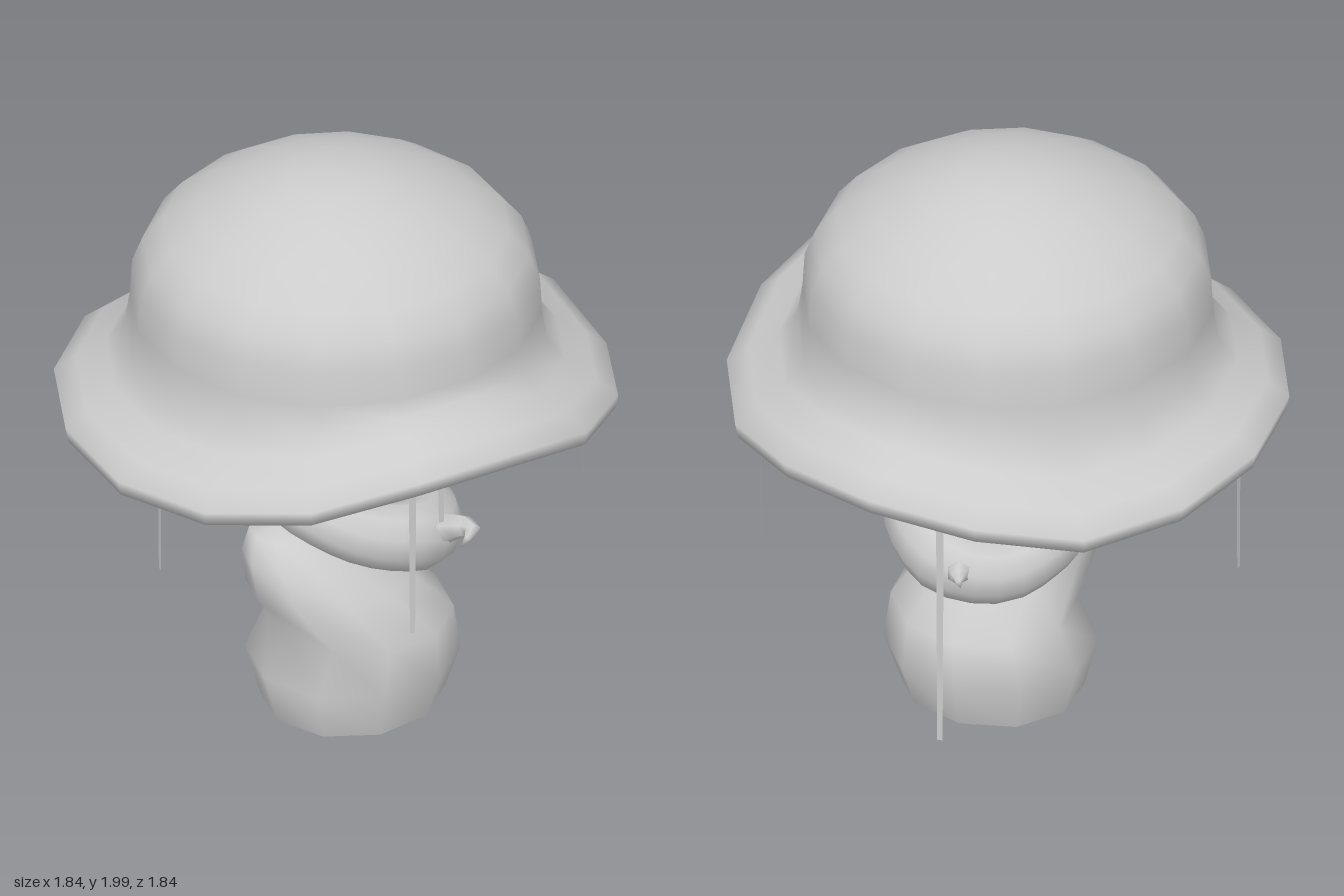
import * as THREE from 'three';
import { mergeVertices } from 'three/addons/utils/BufferGeometryUtils.js';

const material = new THREE.MeshStandardMaterial({ color: 0xcccccc });
const ribbonMaterial = new THREE.MeshStandardMaterial({ color: 0xcccccc, side: THREE.DoubleSide });
const V = (x, y, z) => new THREE.Vector3(x, y, z);

function addMesh(parent, name, geometry, mat = material) {
  const mesh = new THREE.Mesh(geometry, mat);
  mesh.name = name;
  parent.add(mesh);
  return mesh;
}

// Weld the seam so that normals run smoothly all round
function smooth(geometry) {
  geometry.deleteAttribute('uv');
  geometry.deleteAttribute('normal');
  const welded = mergeVertices(geometry, 1e-4);
  welded.computeVertexNormals();
  return welded;
}

// Lathed cap whose brim rises and falls around the edge
function capGeometry() {
  // rim height at each of 16 corners, from the front towards +x
  const rim = [1.29, 1.30, 1.21, 1.14, 1.12, 1.17, 1.18, 1.14, 1.08, 1.10, 1.13, 1.14, 1.13, 1.12, 1.14, 1.20];
  // radius, height, share of the rim wave
  const profile = [
    [0, 1.33, 0], [0.28, 1.32, 0.1], [0.5, 1.28, 0.4], [0.68, 1.22, 0.7], [0.84, 1.17, 0.95],
    [0.91, 1.15, 1], [0.92, 1.2, 1], [0.85, 1.255, 0.95], [0.75, 1.32, 0.75], [0.69, 1.39, 0.45],
    [0.672, 1.5, 0.1], [0.665, 1.62, 0], [0.63, 1.71, 0], [0.565, 1.79, 0], [0.45, 1.87, 0],
    [0.3, 1.945, 0], [0.15, 1.99, 0], [0, 2, 0],
  ];
  const geo = new THREE.LatheGeometry(profile.map(([r, y]) => new THREE.Vector2(r, y)), 16);
  const pos = geo.attributes.position;
  for (let i = 0; i < pos.count; i++) {
    const [, y, share] = profile[i % profile.length];
    const corner = Math.floor(i / profile.length) % 16;
    pos.setY(i, y + share * (rim[corner] - 1.15));
  }
  return smooth(geo);
}

// Leaning foot of the stem, a stack of elliptical rings
function footGeometry() {
  // centre x, y, centre z, radius x, radius z
  const rings = [
    [0.05, 0.025, 0.02, 0.3, 0.3], [0.05, 0.19, 0.02, 0.35, 0.35], [0.075, 0.35, 0.025, 0.3, 0.33],
    [-0.045, 0.5, 0.08, 0.28, 0.22], [-0.13, 0.61, 0.05, 0.2, 0.18],
    [-0.17, 0.69, 0.03, 0.13, 0.12], [-0.17, 0.73, 0.02, 0, 0],
  ];
  const geo = new THREE.LatheGeometry(rings.map((r, i) => new THREE.Vector2(1, i)), 10);
  const pos = geo.attributes.position;
  for (let i = 0; i < pos.count; i++) {
    const [cx, y, cz, rx, rz] = rings[i % rings.length];
    const tilt = i % rings.length === 0 ? 0.015 * pos.getX(i) : 0;
    pos.setXYZ(i, cx + rx * pos.getX(i), y + tilt, cz + rz * pos.getZ(i));
  }
  return smooth(geo);
}

// Tube along a path with a radius that changes along its length
function taperedTube(points, radii, segments, sides) {
  const curve = new THREE.CatmullRomCurve3(points);
  const geo = new THREE.TubeGeometry(curve, segments, 1, sides);
  const pos = geo.attributes.position;
  const v = V(0, 0, 0);
  for (let i = 0; i < pos.count; i++) {
    const t = Math.floor(i / (sides + 1)) / segments;
    const f = t * (radii.length - 1);
    const k = Math.min(Math.floor(f), radii.length - 2);
    const r = THREE.MathUtils.lerp(radii[k], radii[k + 1], f - k);
    const centre = curve.getPointAt(t);
    v.fromBufferAttribute(pos, i).sub(centre).multiplyScalar(r).add(centre);
    pos.setXYZ(i, v.x, v.y, v.z);
  }
  return smooth(geo);
}

export function createModel() {
  const group = new THREE.Group();
  group.name = 'mushroom';

  addMesh(group, 'cap', capGeometry());

  // Stem: foot, flat sole and two turns of coil
  const stem = new THREE.Group();
  stem.name = 'stem';
  group.add(stem);
  addMesh(stem, 'foot', footGeometry());
  const sole = addMesh(stem, 'sole', new THREE.CircleGeometry(0.3, 10, -Math.PI / 2));
  sole.rotation.set(Math.PI / 2, Math.atan(0.05), 0);
  sole.position.set(0.05, 0.025, 0.02);

  const coil = [
    V(-0.17, 0.58, 0.04), V(-0.1, 0.62, -0.13), V(0.08, 0.59, -0.2), V(0.24, 0.62, -0.14),
    V(0.28, 0.67, 0.06), V(0.2, 0.72, 0.25), V(0, 0.78, 0.28), V(-0.18, 0.87, 0.19),
    V(-0.22, 0.92, 0.02), V(-0.12, 0.96, -0.18), V(0.06, 1.01, -0.26), V(0.24, 1.03, -0.15),
    V(0.28, 1.04, 0.06), V(0.17, 1.05, 0.23), V(-0.02, 1.08, 0.25), V(-0.15, 1.14, 0.12),
    V(-0.1, 1.2, -0.02), V(0.02, 1.27, -0.04), V(0.04, 1.37, 0),
  ];
  const radii = [0.12, 0.1, 0.11, 0.12, 0.12, 0.12, 0.11, 0.1, 0.1, 0.09, 0.09, 0.1, 0.1, 0.1, 0.1, 0.1, 0.09, 0.07, 0.06];
  addMesh(stem, 'coil', taperedTube(coil, radii, 60, 10));

  // Small hooked buds on the coil
  const buds = [
    [V(0.22, 0.72, 0.25), V(0.31, 0.79, 0.35), V(0.34, 0.8, 0.4), V(0.29, 0.76, 0.43)],
    [V(-0.16, 1.06, 0.13), V(-0.24, 1.07, 0.16), V(-0.27, 1.05, 0.18), V(-0.25, 1.01, 0.19)],
    [V(0.2, 0.63, -0.18), V(0.24, 0.64, -0.26), V(0.25, 0.64, -0.3), V(0.25, 0.62, -0.32)],
  ];
  for (const path of buds) addMesh(stem, 'bud', taperedTube(path, [0.07, 0.05, 0.035, 0], 8, 6));

  // Thin ribbons hanging under the cap, facing outwards: x, z, top, bottom
  const strands = [
    [0.035, 0.72, 1.3, 0.65], [0.13, 0.73, 1.3, 1.06], [0.74, 0.325, 1.19, 0.49], [0.43, -0.715, 1.19, 0.31],
    [0.395, -0.32, 1.29, 0.91], [-0.615, -0.58, 1.19, 0.71], [-0.615, 0.05, 1.23, 0.62],
  ];
  for (const [x, z, top, bottom] of strands) {
    const geo = new THREE.PlaneGeometry(0.026, top - bottom);
    const pos = geo.attributes.position;
    for (let i = 0; i < 4; i++) if (pos.getY(i) < 0) pos.setX(i, pos.getX(i) * 0.7);
    const strand = addMesh(group, 'strand', geo, ribbonMaterial);
    strand.position.set(x, (top + bottom) / 2, z);
    strand.rotation.y = Math.atan2(x, z);
  }
  return group;
}
